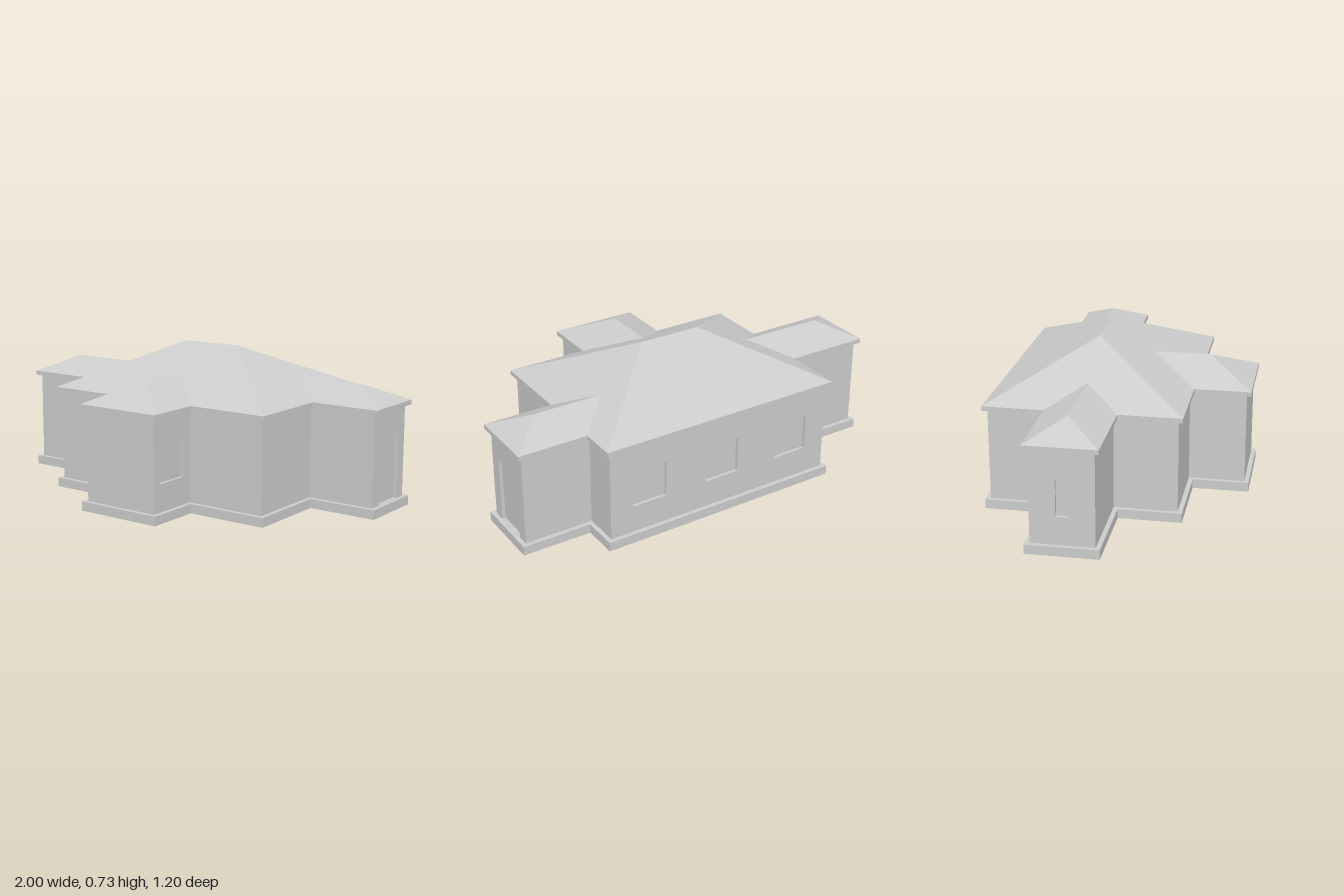
import * as THREE from 'three';

const T = 0.022;          // wall thickness and overhang
const BASE = 0.045;       // top of plinth
const WALL_TOP = 0.49;
const EAVE = 0.512;
const SLOPE = 0.477;

// Wall footprint as (x, z) corners, walked with the outside at (dz, -dx)
const plan = [
  [-0.555, -0.579], [0.639, -0.579], [0.639, -0.401], [0.978, -0.401],
  [0.978, -0.106], [0.639, -0.106], [0.639, 0.308], [0.238, 0.308],
  [0.238, 0.579], [-0.158, 0.579], [-0.158, 0.308], [-0.555, 0.308],
  [-0.555, 0.009], [-0.978, 0.009], [-0.978, -0.286], [-0.555, -0.286],
];
const N = plan.length;
const corner = (i) => plan[(i + N) % N];

// Openings per wall: [u0, u1, y0, y1], u runs left to right seen from outside
const openings = {
  0: [0.203, 0.599, 0.995].map((u) => [u - 0.089, u + 0.089, 0.179, 0.356]),
  3: [[0.06, 0.237, BASE + 0.001, 0.356]],
  7: [[0.045, 0.222, 0.179, 0.356]],
  13: [[0.119, 0.175, 0.179, 0.356]],
};

const direction = (i) => {
  const [ax, az] = corner(i), [bx, bz] = corner(i + 1);
  return [Math.sign(bx - ax), Math.sign(bz - az)];
};
const isConvex = (i) => {
  const [px, pz] = direction(i - 1 + N), [qx, qz] = direction(i);
  return px * qz - pz * qx > 0;
};

// Footprint moved outward by d, as shape points (x, -z)
function offsetPlan(d) {
  return plan.map(([x, z], i) => {
    const [px, pz] = direction(i - 1 + N), [qx, qz] = direction(i);
    return new THREE.Vector2(x + d * (pz + qz), -(z - d * (px + qx)));
  });
}

function rectangle(Type, u0, u1, v0, v1) {
  return new Type([[u0, v0], [u1, v0], [u1, v1], [u0, v1]].map((p) => new THREE.Vector2(...p)));
}

export function createModel() {
  const house = new THREE.Group();
  house.name = 'house';
  const grey = new THREE.MeshStandardMaterial({ color: 0xcccccc, flatShading: true });
  const thin = new THREE.MeshStandardMaterial({ color: 0xcccccc, flatShading: true, side: THREE.DoubleSide });

  const add = (parent, name, geometry, material = grey) => {
    const mesh = new THREE.Mesh(geometry, material);
    mesh.name = name;
    parent.add(mesh);
    return mesh;
  };

  // Horizontal band following the footprint; the hole winds against the outline
  const band = (name, outer, inner, y0, y1) => {
    const shape = new THREE.Shape(offsetPlan(outer));
    shape.holes.push(new THREE.Path(offsetPlan(inner).reverse()));
    const geometry = new THREE.ExtrudeGeometry(shape, { depth: y1 - y0, bevelEnabled: false });
    add(house, name, geometry.rotateX(-Math.PI / 2).translate(0, y0, 0));
  };
  band('plinth', T, 0, 0, BASE);
  band('eaves', T, -T, WALL_TOP, EAVE);

  // Walls with recessed windows and door
  for (let i = 0; i < N; i++) {
    const [ax, az] = corner(i), [bx, bz] = corner(i + 1);
    const [dx, dz] = direction(i);
    const length = Math.hypot(bx - ax, bz - az);
    const wall = new THREE.Group();
    wall.name = 'wall' + (i + 1);
    wall.position.set(bx, 0, bz);
    wall.rotation.y = Math.atan2(dz, -dx);
    house.add(wall);

    const u0 = isConvex((i + 1) % N) ? 0 : -T;
    const u1 = length - (isConvex(i) ? T : 0);
    const shape = rectangle(THREE.Shape, u0, u1, BASE, WALL_TOP);
    for (const [a, b, c, d] of openings[i] || []) {
      shape.holes.push(rectangle(THREE.Path, a, b, c, d));
      const pane = add(wall, i === 3 ? 'door' : 'windowPane', new THREE.BoxGeometry(b - a, d - c, 0.006));
      pane.position.set((a + b) / 2, (c + d) / 2, -T + 0.003);
    }
    const geometry = new THREE.ExtrudeGeometry(shape, { depth: T, bevelEnabled: false });
    add(wall, 'wallPanel', geometry.translate(0, 0, -T));
  }

  // Roof planes from flat polygons, each split as a fan
  const roof = (name, faces) => {
    const positions = [];
    for (const f of faces) {
      for (let k = 1; k < f.length - 1; k++) positions.push(...f[0], ...f[k], ...f[k + 1]);
    }
    const geometry = new THREE.BufferGeometry();
    geometry.setAttribute('position', new THREE.Float32BufferAttribute(positions, 3));
    geometry.computeVertexNormals();
    return add(house, name, geometry, thin);
  };

  // Main hipped roof
  const [x0, x1, z0, z1] = [-0.577, 0.661, -0.601, 0.33];
  const half = (z1 - z0) / 2, zm = (z0 + z1) / 2, top = EAVE + SLOPE * half;
  const r0 = [x0 + half, top, zm], r1 = [x1 - half, top, zm];
  const bl = [x0, EAVE, z0], br = [x1, EAVE, z0], fl = [x0, EAVE, z1], fr = [x1, EAVE, z1];
  roof('mainRoof', [[fl, fr, r1, r0], [br, bl, r0, r1], [fr, br, r1], [bl, fl, r0]]);

  // Wing roofs, running out along local +z and dying into the main roof
  const wingRoof = (name, w, length, x, z, turn) => {
    const rise = SLOPE * w;
    const inL = [-w, 0, 0], inR = [w, 0, 0], outL = [-w, 0, length], outR = [w, 0, length];
    const hip = [0, rise, length - w], end = [0, rise, -w];
    const mesh = roof(name, [[outL, outR, hip], [outR, inR, end, hip], [inL, outL, hip, end]]);
    mesh.position.set(x, EAVE, z);
    mesh.rotation.y = turn;
  };
  wingRoof('frontWingRoof', 0.22, 0.271, 0.04, z1, 0);
  wingRoof('leftWingRoof', 0.1695, 0.339, x1, -0.2535, Math.PI / 2);
  wingRoof('rightWingRoof', 0.1695, 0.423, x0, -0.1385, -Math.PI / 2);

  return house;
}
